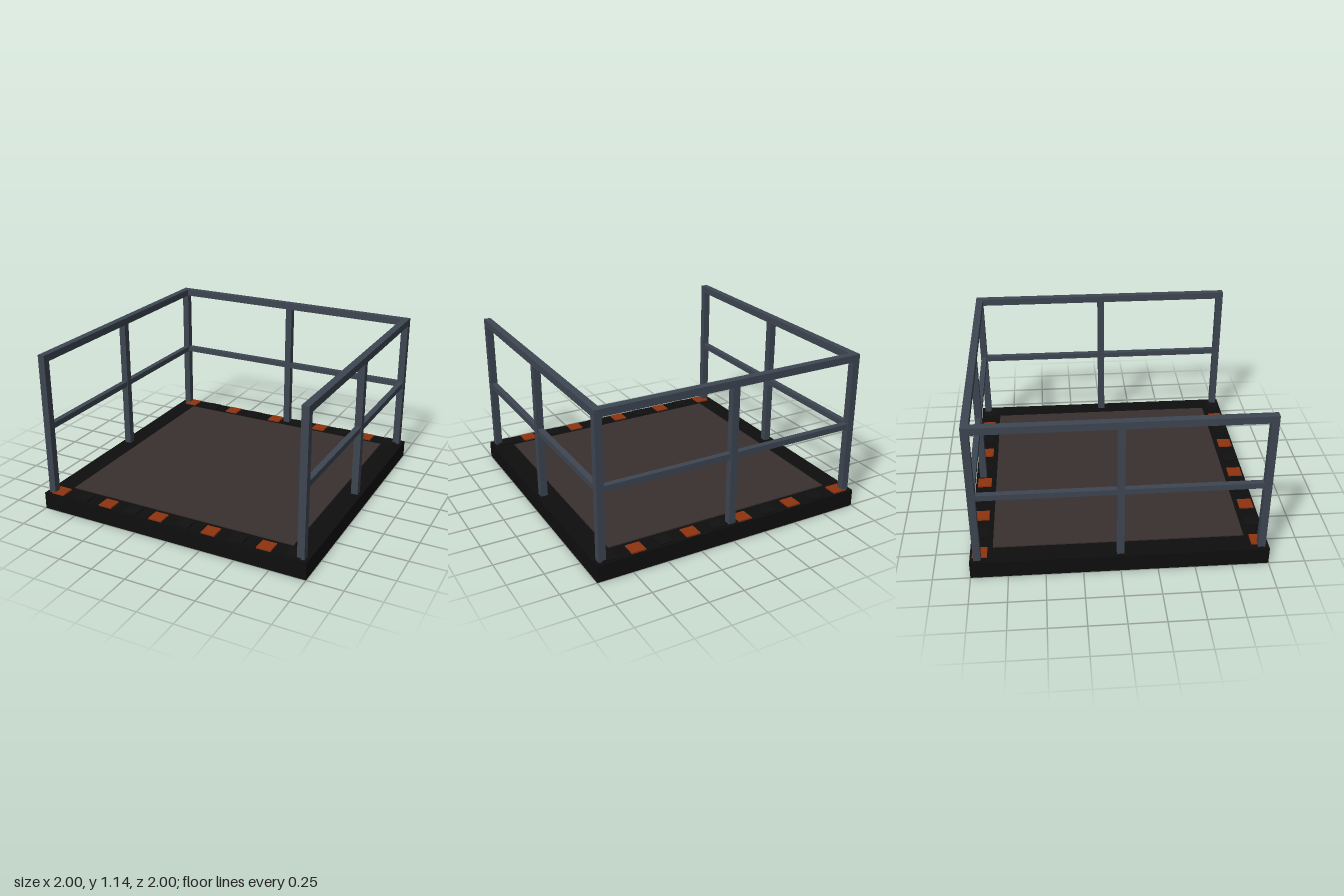
import * as THREE from 'three';

const paint = (name, color) => {
  const m = new THREE.MeshStandardMaterial({ color });
  m.name = name;
  return m;
};

export function createModel() {
  const black = paint('black base', 0x0e0e0e);
  const tileBlack = paint('black tile', 0x101010);
  const orange = paint('burnt orange', 0x8f3410);
  const brown = paint('deck brown', 0x392f2f);
  const steel = paint('blue grey steel', 0x3e4652);

  const model = new THREE.Group();
  model.name = 'railedPlatform';

  const box = (parent, name, mat, [w, h, d], [x, y, z]) => {
    const mesh = new THREE.Mesh(new THREE.BoxGeometry(w, h, d), mat);
    mesh.name = name;
    mesh.position.set(x, y, z);
    parent.add(mesh);
  };

  // Slab with a raised deck panel
  box(model, 'baseSlab', black, [2, 0.122, 2], [0, 0.061, 0]);
  box(model, 'deckPanel', brown, [1.7, 0.02, 1.7], [0, 0.12, 0]);

  // Alternating hazard tiles along the front and back edges
  for (const z of [-0.935, 0.935]) {
    for (let i = 0; i < 10; i++) {
      box(model, 'hazardTile', i % 2 ? tileBlack : orange,
        [0.1, 0.02, 0.1], [-0.9 + i * 0.2, 0.122, z]);
    }
  }

  // Handrail on the left, right and back; the front is open
  const railing = new THREE.Group();
  railing.name = 'railing';
  model.add(railing);

  const E = 0.95, T = 0.05, floor = 0.11, top = 1.145;
  const posts = [[-E, -E], [0, -E], [E, -E], [-E, 0], [E, 0], [-E, E], [E, E]];
  for (const [x, z] of posts) {
    const h = top - T - floor;
    box(railing, 'post', steel, [T, h, T], [x, floor + h / 2, z]);
  }
  for (const [name, y, t] of [['topRail', top - T / 2, T], ['midRail', 0.622, 0.04]]) {
    // Side rails run the full depth, the back rail fits between them
    for (const x of [-E, E]) box(railing, name, steel, [t, t, 2 * E + t], [x, y, 0]);
    box(railing, name, steel, [2 * E - t, t, t], [0, y, -E]);
  }
  return model;
}
